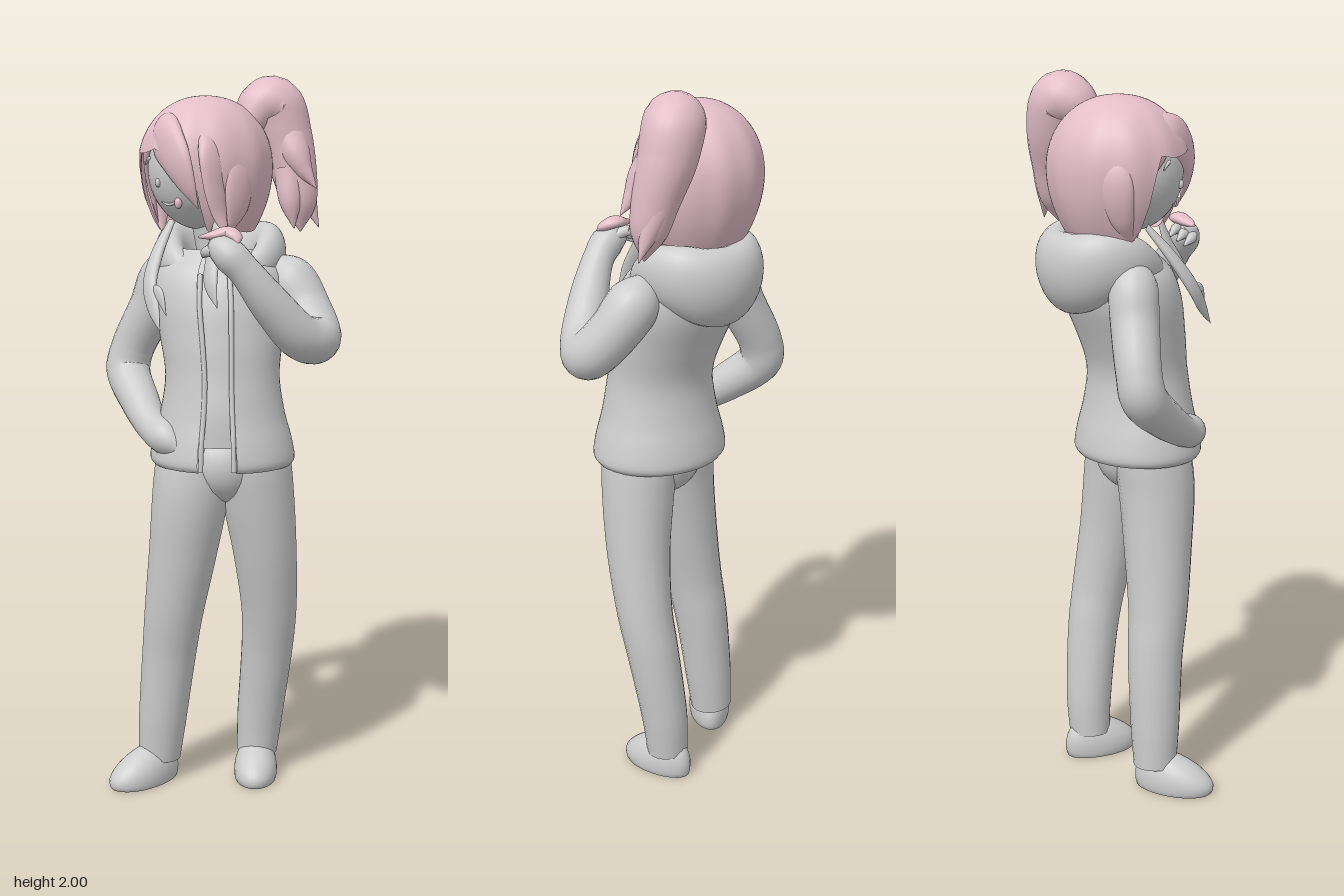
import * as THREE from 'three';
import { mergeVertices } from 'three/addons/utils/BufferGeometryUtils.js';

const clay = new THREE.MeshStandardMaterial({ color: 0xcccccc, side: THREE.DoubleSide });
clay.name = 'clay grey';
const pink = new THREE.MeshStandardMaterial({ color: 0xe2bdc8, side: THREE.DoubleSide });
pink.name = 'hair pink';

// Weld seams so that normals stay smooth
function smooth(geo) {
  geo.deleteAttribute('uv');
  geo.deleteAttribute('normal');
  const g = mergeVertices(geo, 1e-5);
  g.computeVertexNormals();
  return g;
}

function part(parent, name, geo, mat) {
  const m = new THREE.Mesh(geo, mat);
  m.name = name;
  parent.add(m);
  return m;
}

// Tube whose radius changes along the path; points are [x, y, z, radius].
// flat = [direction, factor] squashes or stretches the section along a direction.
function sweep(points, flat, closed = false, sides = 20) {
  const curve = new THREE.CatmullRomCurve3(points.map(p => new THREE.Vector3(p[0], p[1], p[2])), closed);
  const radii = new THREE.CatmullRomCurve3(points.map(p => new THREE.Vector3(p[3], 0, 0)), closed);
  radii.curveType = 'catmullrom';
  const steps = points.length * 8;
  const geo = new THREE.TubeGeometry(curve, steps, 1, sides, closed);
  const pos = geo.attributes.position, d = new THREE.Vector3();
  const dir = flat && new THREE.Vector3(...flat[0]).normalize();
  for (let i = 0; i <= steps; i++) {
    const u = i / steps, c = curve.getPointAt(u);
    const r = Math.max(0.001, radii.getPoint(curve.getUtoTmapping(u)).x);
    for (let j = 0; j <= sides; j++) {
      const k = i * (sides + 1) + j;
      d.fromBufferAttribute(pos, k).sub(c).multiplyScalar(r);
      if (dir) d.addScaledVector(dir, -d.dot(dir) * (1 - flat[1]));
      pos.setXYZ(k, c.x + d.x, c.y + d.y, c.z + d.z);
    }
  }
  return smooth(geo);
}

function ball(parent, name, mat, p, s, yaw = 0) {
  const m = part(parent, name, new THREE.SphereGeometry(1, 28, 20), mat);
  m.position.set(...p);
  m.scale.set(...s);
  m.rotation.y = yaw;
}

const YAW = 0.72;

// Middle of the trunk at height y
function spine(y) {
  const t = THREE.MathUtils.smoothstep(y, 1.15, 1.55);
  return [0.042 - 0.065 * t, 0.022 - 0.05 * t];
}

// Oval body section turned to the side, following the spine
function trunk(profile, gap, depth) {
  const curve = new THREE.SplineCurve(profile.map(([r, y]) => new THREE.Vector2(r, y)));
  const geo = new THREE.LatheGeometry(curve.getPoints(36), 48, gap, Math.PI * 2 - gap * 2);
  geo.scale(1, 1, depth);
  geo.rotateY(YAW);
  const pos = geo.attributes.position;
  for (let i = 0; i < pos.count; i++) {
    const [x, z] = spine(pos.getY(i));
    pos.setX(i, pos.getX(i) + x);
    pos.setZ(i, pos.getZ(i) + z);
  }
  return smooth(geo);
}

// Foot with a flat sole and raised heel, toes toward local +z
function foot(parent, name, x, z, yaw, length) {
  const geo = new THREE.SphereGeometry(1, 28, 20);
  const pos = geo.attributes.position;
  for (let i = 0; i < pos.count; i++) {
    const fz = pos.getZ(i), y = Math.max(pos.getY(i), -0.3);
    pos.setXYZ(i, pos.getX(i) * (0.062 + 0.006 * fz), (y + 0.3) * (0.08 - 0.026 * fz), fz * length);
  }
  const m = part(parent, name, smooth(geo), clay);
  m.position.set(x, 0.003, z);
  m.rotation.y = yaw;
}

// Hair cap: long at the back and sides, cut away over the face
function hairCap() {
  const geo = new THREE.SphereGeometry(1, 72, 36, 0, Math.PI * 2, 0, Math.PI * 0.999);
  const pos = geo.attributes.position;
  for (let i = 0; i < pos.count; i++) {
    const a = Math.atan2(pos.getX(i), pos.getZ(i));
    const end = 1.3 + 1.36 * THREE.MathUtils.smoothstep(Math.abs(a + 0.06), 0.62, 1.0) + 0.07 * Math.abs(Math.sin(a * 4));
    const th = Math.acos(THREE.MathUtils.clamp(pos.getY(i), -1, 1)) / Math.PI * end;
    const y = Math.cos(th);
    const r = (y > 0 ? Math.pow(Math.sin(th), 0.92) : 1 - 0.32 * y * y) * (1 + 0.012 * Math.cos(a * 11) * Math.sin(th));
    pos.setXYZ(i, Math.sin(a) * r * 0.174, y * 0.19, Math.cos(a) * r * 0.19);
  }
  return smooth(geo);
}

export function createModel() {
  const model = new THREE.Group();
  model.name = 'standingFigure';

  // Trousers, the legs merging into the seat
  part(model, 'rightLeg', sweep([[-0.012, 1.05, 0.072, 0.09], [-0.012, 0.97, 0.077, 0.106], [-0.014, 0.87, 0.09, 0.107], [-0.036, 0.7, 0.1, 0.096],
    [-0.066, 0.52, 0.108, 0.084], [-0.088, 0.4, 0.106, 0.078], [-0.114, 0.18, 0.112, 0.069], [-0.124, 0.07, 0.115, 0.061]]), clay);
  part(model, 'leftLeg', sweep([[0.1, 1.05, -0.03, 0.09], [0.104, 0.97, -0.034, 0.105], [0.11, 0.87, -0.048, 0.102], [0.113, 0.7, -0.075, 0.09],
    [0.1, 0.52, -0.106, 0.079], [0.08, 0.4, -0.12, 0.074], [0.046, 0.18, -0.126, 0.066], [0.038, 0.07, -0.122, 0.059]]), clay);
  ball(model, 'seat', clay, [0.044, 0.955, 0.02], [0.115, 0.115, 0.12], YAW);
  foot(model, 'rightShoe', -0.127, 0.172, -0.08, 0.116);
  foot(model, 'leftShoe', 0.062, -0.094, 0.75, 0.115);

  // Shirt and open jacket
  part(model, 'shirt', trunk([[0.165, 1.02], [0.163, 1.1], [0.148, 1.2], [0.159, 1.3], [0.172, 1.4], [0.15, 1.48], [0.05, 1.54]], 0, 0.86), clay);
  part(model, 'jacket', trunk([[0.19, 0.955], [0.2, 0.975], [0.19, 1.03], [0.171, 1.1], [0.157, 1.2], [0.169, 1.3],
    [0.183, 1.4], [0.17, 1.48], [0.11, 1.54]], 0.27, 0.86), clay);
  part(model, 'neck', sweep([[-0.02, 1.46, -0.03, 0.06], [-0.03, 1.54, -0.015, 0.05], [-0.04, 1.64, 0, 0.05]]), clay);

  // Hood lying on the back, thickest behind
  const hoodPoints = [];
  for (let i = 0; i < 12; i++) {
    const a = i / 12 * Math.PI * 2, back = (1 - Math.cos(a)) / 2;
    hoodPoints.push([Math.sin(a) * 0.136, 1.455 + 0.055 * Math.sin(back * Math.PI) + 0.028 * back, Math.cos(a) * 0.128 - 0.022, 0.02 + 0.048 * back]);
  }
  const hood = part(model, 'hood', sweep(hoodPoints, [[0, 1, -0.2], 1.65], true, 28), clay);
  hood.rotation.y = YAW;
  hood.position.set(-0.02, 0, -0.025);

  // Right arm, hand in the pocket
  part(model, 'rightArm', sweep([[-0.1, 1.5, 0.04, 0.03], [-0.152, 1.465, 0.055, 0.064], [-0.192, 1.37, 0.07, 0.065], [-0.25, 1.25, 0.095, 0.061],
    [-0.255, 1.19, 0.108, 0.062], [-0.17, 1.115, 0.14, 0.055], [-0.075, 1.055, 0.172, 0.045], [-0.01, 1.035, 0.182, 0.046], [0.045, 1.01, 0.175, 0.02]]), clay);
  part(model, 'rightPocket', sweep([[-0.06, 1.06, 0.16, 0.02], [-0.01, 1.02, 0.17, 0.055], [0.04, 0.97, 0.165, 0.035]], [[0.2, 0, 1], 0.6]), clay);

  // Left arm, raised to the collar
  part(model, 'leftArm', sweep([[0.08, 1.5, -0.12, 0.03], [0.122, 1.455, -0.15, 0.07], [0.182, 1.375, -0.16, 0.069], [0.247, 1.305, -0.135, 0.066],
    [0.256, 1.315, -0.065, 0.062], [0.232, 1.41, 0.03, 0.054], [0.2, 1.5, 0.095, 0.043], [0.172, 1.54, 0.122, 0.045], [0.135, 1.565, 0.135, 0.03], [0.115, 1.575, 0.135, 0.002]]), clay);
  for (let i = 0; i < 3; i++) {
    part(model, 'leftFinger', sweep([[0.16, 1.555, 0.105 + i * 0.02, 0.014], [0.12, 1.572 - i * 0.012, 0.11 + i * 0.022, 0.015],
      [0.09, 1.555 - i * 0.012, 0.1 + i * 0.02, 0.003]], null, false, 10), clay);
  }
  part(model, 'heldLock', sweep([[0.1, 1.585, 0.165, 0.004], [0.13, 1.59, 0.14, 0.02], [0.155, 1.598, 0.11, 0.026],
    [0.185, 1.585, 0.11, 0.018], [0.2, 1.57, 0.12, 0.002]], [[0, 1, 0], 0.6]), pink);

  // Head and face
  const face = new THREE.SphereGeometry(1, 36, 28);
  const fp = face.attributes.position;
  for (let i = 0; i < fp.count; i++) {
    const y = fp.getY(i), w = y < 0 ? 1 - 0.22 * y * y : 1;
    fp.setXYZ(i, fp.getX(i) * 0.14 * w, y * 0.16, fp.getZ(i) * 0.148);
  }
  const head = part(model, 'face', smooth(face), clay);
  head.position.set(-0.048, 1.75, 0.016);
  head.rotation.y = -0.1;
  ball(model, 'nose', clay, [-0.062, 1.72, 0.16], [0.008, 0.012, 0.01]);
  for (const [x, z] of [[-0.115, 0.142], [0.005, 0.153]]) {
    part(model, 'eyelid', sweep([[x - 0.028, 1.765, z - 0.008, 0.002], [x, 1.783, z, 0.005], [x + 0.028, 1.765, z - 0.008, 0.002]], null, false, 8), clay);
  }
  part(model, 'mouth', sweep([[-0.07, 1.668, 0.14, 0.002], [-0.04, 1.662, 0.141, 0.004], [-0.005, 1.675, 0.135, 0.002]], null, false, 8), clay);
  ball(model, 'tongue', pink, [-0.01, 1.668, 0.136], [0.011, 0.016, 0.01]);

  // Hair cap, fringe and side locks
  const cap = part(model, 'hairCap', hairCap(), pink);
  cap.position.set(-0.057, 1.758, -0.008);
  const front = [[0, 0, 1], 0.4], side = [[1, 0, 0], 0.4], corner = [[-0.8, 0, 0.6], 0.35];
  const locks = [
    ['sweptFringe', [[-0.1, 1.88, 0.08, 0.03], [-0.05, 1.84, 0.14, 0.06], [0.008, 1.785, 0.16, 0.053], [0.042, 1.72, 0.153, 0.032], [0.065, 1.655, 0.132, 0.001]], front],
    ['rightFringe', [[-0.11, 1.87, 0.08, 0.02], [-0.145, 1.83, 0.105, 0.045], [-0.178, 1.77, 0.092, 0.034], [-0.188, 1.69, 0.072, 0.022], [-0.175, 1.6, 0.06, 0.001]], corner],
    ['leftFringe', [[0.03, 1.86, 0.08, 0.02], [0.073, 1.79, 0.09, 0.045], [0.088, 1.7, 0.093, 0.036], [0.098, 1.63, 0.083, 0.022], [0.12, 1.58, 0.075, 0.001]], side],
    ['leftSideLock', [[0.08, 1.82, 0.02, 0.02], [0.1, 1.74, 0.02, 0.045], [0.1, 1.66, 0.025, 0.04], [0.09, 1.585, 0.045, 0.001]], side],
    ['rightSideLock', [[-0.195, 1.82, 0.02, 0.02], [-0.216, 1.74, 0.025, 0.045], [-0.2, 1.65, 0.035, 0.035], [-0.16, 1.57, 0.055, 0.001]], side],
  ];
  for (const [name, pts, flat] of locks) part(model, name, sweep(pts, flat), pink);

  // Ponytail with loose tips
  part(model, 'ponytail', sweep([[0.01, 1.87, -0.1, 0.04], [0.014, 1.915, -0.15, 0.07], [0.025, 1.92, -0.187, 0.081], [0.045, 1.84, -0.21, 0.077],
    [0.075, 1.74, -0.22, 0.063], [0.095, 1.65, -0.222, 0.046], [0.105, 1.58, -0.215, 0.002]]), pink);
  const tips = [
    [[0.06, 1.86, -0.2, 0.05], [0.105, 1.79, -0.195, 0.04], [0.13, 1.75, -0.2, 0.025], [0.165, 1.7, -0.215, 0.001]],
    [[0.06, 1.76, -0.24, 0.04], [0.09, 1.68, -0.25, 0.03], [0.125, 1.59, -0.268, 0.001]],
    [[0.08, 1.75, -0.19, 0.04], [0.1, 1.66, -0.18, 0.03], [0.115, 1.59, -0.18, 0.001]],
  ];
  for (const t of tips) part(model, 'ponytailTip', sweep(t), pink);

  // Grey strands hanging over the chest
  part(model, 'rightChestLock', sweep([[-0.1, 1.61, 0.08, 0.012], [-0.085, 1.53, 0.145, 0.022], [-0.06, 1.45, 0.195, 0.026],
    [-0.022, 1.39, 0.215, 0.022], [0.02, 1.335, 0.23, 0.001]], front), clay);
  part(model, 'rightChestTip', sweep([[-0.05, 1.44, 0.195, 0.012], [-0.01, 1.43, 0.207, 0.018], [0.025, 1.375, 0.212, 0.001]], front), clay);
  part(model, 'leftChestLock', sweep([[0.07, 1.62, 0.07, 0.012], [0.085, 1.53, 0.1, 0.024], [0.11, 1.46, 0.13, 0.024],
    [0.145, 1.4, 0.14, 0.001]], front), clay);

  // Jacket edges along the opening
  for (const s of [-1, 1]) {
    const a = YAW + s * 0.27, pts = [];
    for (const [y, r] of [[0.96, 0.168], [1.03, 0.162], [1.12, 0.143], [1.2, 0.135], [1.3, 0.145], [1.4, 0.158], [1.48, 0.147]]) {
      const [x, z] = spine(y);
      pts.push([Math.sin(a) * r + x, y, Math.cos(a) * r + z, 0.007]);
    }
    part(model, 'jacketEdge', sweep(pts, null, false, 10), clay);
  }
  return model;
}
